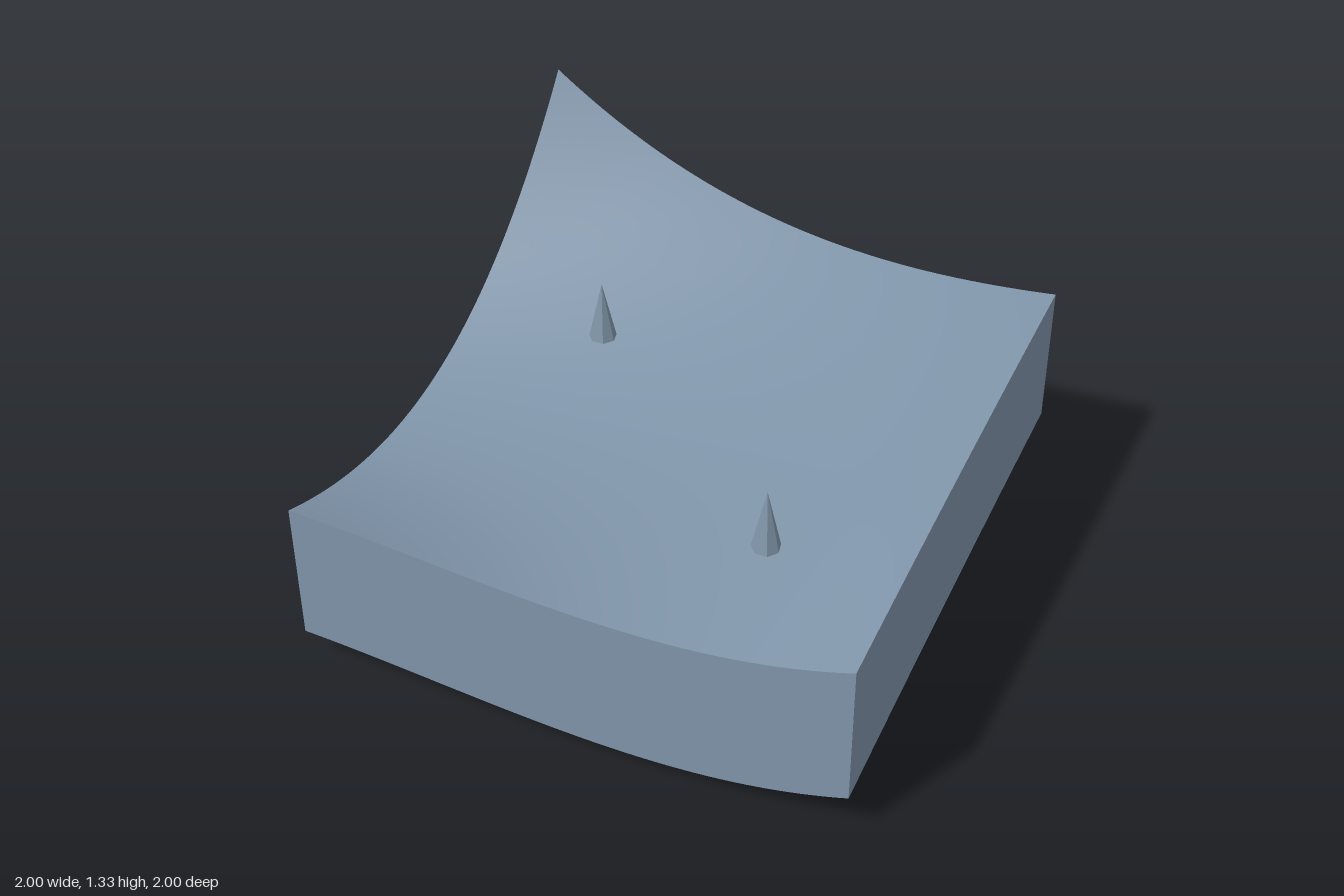
import * as THREE from 'three';

const SKIRT = 0.533;

// Height of each edge of the patch, as a cubic
const front = x => 0.58 - 0.0425 * x + 0.0975 * x * x + 0.065 * x ** 3;
const back = x => 0.875 - 0.2 * x + 0.2165 * x * x - 0.0385 * x ** 3;
const minusX = z => 0.59 - 0.296 * z + 0.4025 * z * z - 0.0415 * z ** 3;
const plusX = z => 0.79 - 0.0765 * z - 0.0135 * z * z;

// Blend the four edges into one smooth surface, with a slight swell inside
function height(x, z) {
  const u = (x + 1) / 2, v = (z + 1) / 2;
  const mix = THREE.MathUtils.lerp;
  const acrossX = mix(minusX(z), plusX(z), u);
  const acrossZ = mix(back(x), front(x), v);
  const corners = mix(mix(back(-1), back(1), u), mix(front(-1), front(1), u), v);
  const swell = (0.065 + 0.03 * x) * (1 - x * x) * (1 - z * z);
  return acrossX + acrossZ - corners + swell;
}

export function createModel() {
  const group = new THREE.Group();
  const slate = new THREE.MeshStandardMaterial({ color: 0x8095aa, side: THREE.DoubleSide });
  slate.name = 'slate blue';

  const add = (name, geometry) => {
    const mesh = new THREE.Mesh(geometry, slate);
    mesh.name = name;
    group.add(mesh);
    return mesh;
  };

  // Curved top sheet
  const sheet = new THREE.PlaneGeometry(2, 2, 64, 64).rotateX(-Math.PI / 2);
  const p = sheet.attributes.position;
  for (let i = 0; i < p.count; i++) p.setY(i, height(p.getX(i), p.getZ(i)));
  sheet.computeVertexNormals();
  add('topSurface', sheet);

  // Four skirt walls hanging from the edges, open underneath
  ['frontWall', 'leftWall', 'backWall', 'rightWall'].forEach((name, side) => {
    const wall = new THREE.PlaneGeometry(2, SKIRT, 64, 1)
      .translate(0, -SKIRT / 2, 1)
      .rotateY(side * Math.PI / 2);
    const q = wall.attributes.position;
    for (let i = 0; i < q.count; i++) q.setY(i, q.getY(i) + height(q.getX(i), q.getZ(i)));
    add(name, wall);
  });

  // Two faceted spikes standing on the surface
  [['rearSpike', -0.5, 0.663, -0.333], ['frontSpike', 0.5, 0.637, 0.5]].forEach(([name, x, y, z]) => {
    const spike = new THREE.ConeGeometry(0.051, 0.226, 7)
      .rotateY(Math.PI)
      .translate(0, 0.113, 0)
      .toNonIndexed();
    spike.computeVertexNormals();
    add(name, spike).position.set(x, y, z);
  });

  return group;
}
